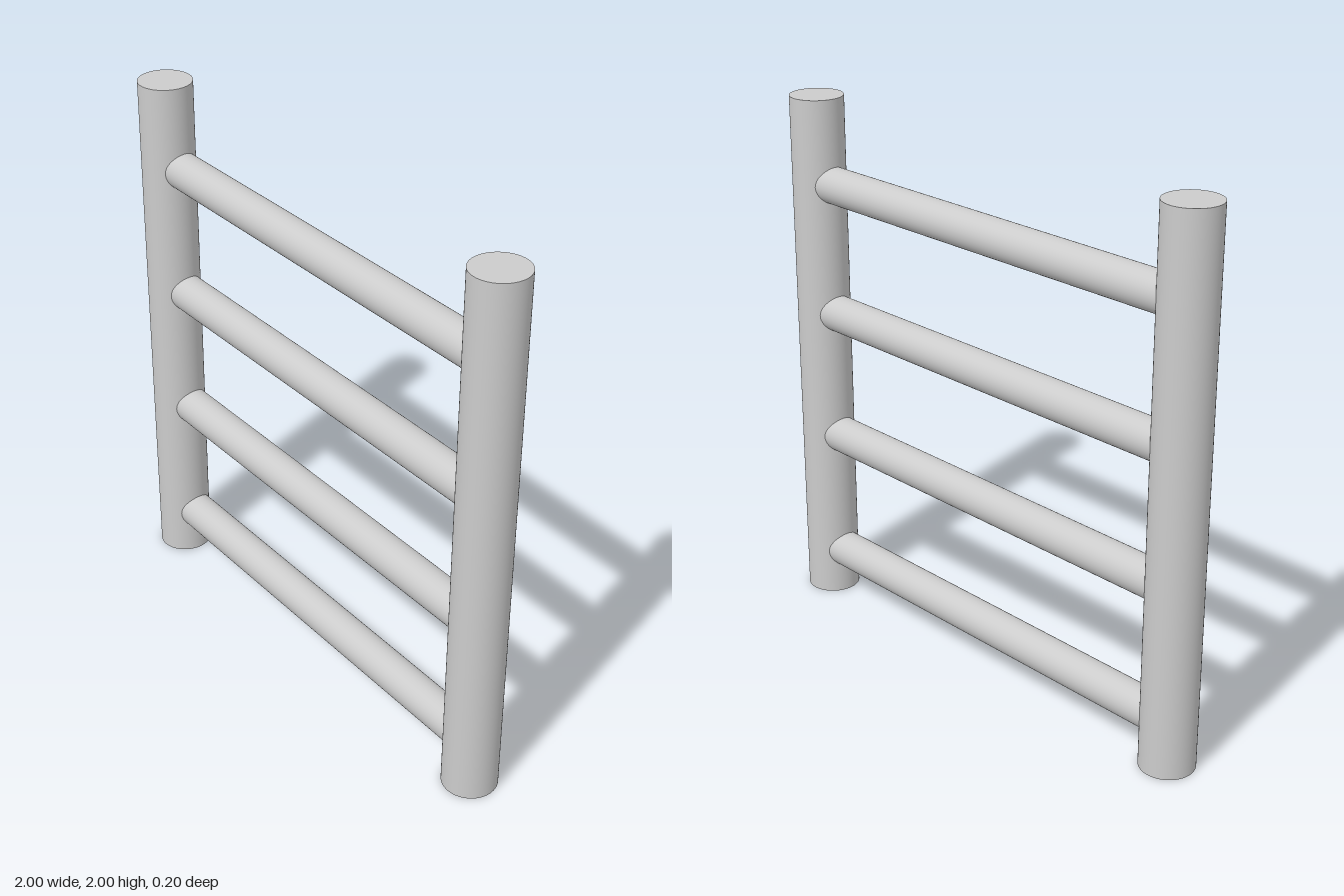
import * as THREE from 'three';

export function createModel() {
  const group = new THREE.Group();
  const material = new THREE.MeshStandardMaterial({ color: 0xcccccc });

  // Two upright posts
  const postGeometry = new THREE.CylinderGeometry(0.1, 0.1, 2, 64);
  for (const side of [-1, 1]) {
    const post = new THREE.Mesh(postGeometry, material);
    post.name = side > 0 ? 'leftPost' : 'rightPost';
    post.position.set(side * 0.9, 1, 0);
    group.add(post);
  }

  // Four evenly spaced rungs, their ends sunk into the posts
  const rungGeometry = new THREE.CylinderGeometry(0.069, 0.069, 1.76, 48);
  rungGeometry.rotateZ(Math.PI / 2);
  for (let i = 0; i < 4; i++) {
    const rung = new THREE.Mesh(rungGeometry, material);
    rung.name = `rung${i + 1}`;
    rung.position.set(0, 0.178 + i * 0.5, -0.005);
    group.add(rung);
  }

  return group;
}
